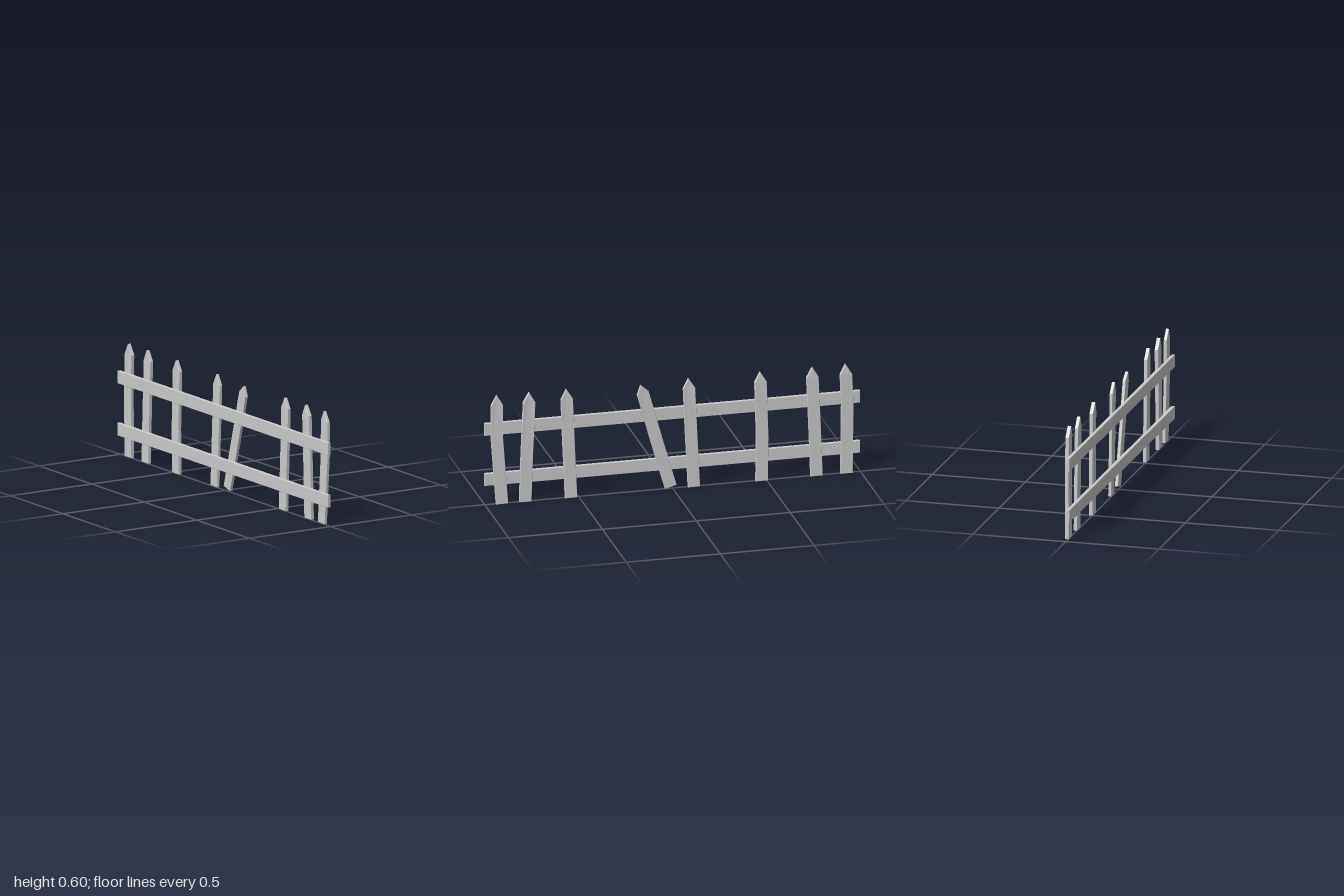
import * as THREE from 'three';

const material = new THREE.MeshStandardMaterial({ color: 0xcccccc, flatShading: true });
const BEVEL = 0.0015;

// Flat board outlined in the z-y plane, spanning x0 to x1, with lightly worn edges
function board(name, outline, x0, x1) {
  const shape = new THREE.Shape(outline.map(([z, y]) => new THREE.Vector2(-z, y)));
  const geometry = new THREE.ExtrudeGeometry(shape, {
    depth: x1 - x0 - 2 * BEVEL,
    bevelEnabled: true,
    bevelThickness: BEVEL,
    bevelSize: BEVEL,
    bevelOffset: -BEVEL,
    bevelSegments: 1,
  });
  geometry.rotateY(Math.PI / 2).translate(x0 + BEVEL, 0, 0);
  const mesh = new THREE.Mesh(geometry, material);
  mesh.name = name;
  return mesh;
}

// Pickets: centre line as [z, y] from foot, through the bend, to shoulder and tip
const HALF_WIDTH = 0.032;
const pickets = [
  { line: [[0.91, 0], [0.937, 0.36], [0.938, 0.545], [0.938, 0.6]], back: -0.001 },
  { line: [[0.786, 0], [0.779, 0.22], [0.765, 0.545], [0.765, 0.6]], back: -0.004 },
  { line: [[0.542, 0], [0.558, 0.36], [0.565, 0.545], [0.567, 0.6]], back: -0.003 },
  { line: [[0.012, 0.012], [0.09, 0.285], [0.16, 0.54], [0.172, 0.585]], back: -0.001, leaning: true },
  { line: [[-0.112, 0], [-0.097, 0.3], [-0.086, 0.545], [-0.083, 0.6]], back: -0.001 },
  { line: [[-0.473, 0], [-0.476, 0.24], [-0.467, 0.545], [-0.465, 0.6]], back: -0.004 },
  { line: [[-0.765, 0], [-0.754, 0.3], [-0.743, 0.545], [-0.743, 0.6]], back: -0.003 },
  { line: [[-0.925, 0], [-0.929, 0.38], [-0.922, 0.545], [-0.92, 0.6]], back: -0.004 },
];

function picket({ line, back }) {
  const tip = line[3];
  const body = line.slice(0, 3);
  // Square the cuts only on boards that lean strongly
  const slope = (line[2][0] - line[0][0]) / (line[2][1] - line[0][1]);
  const angle = Math.atan(slope);
  const dz = HALF_WIDTH * Math.cos(angle);
  const dy = -HALF_WIDTH * Math.sin(angle);
  const side = (s) => body.map(([z, y]) => [z + s * dz, Math.max(0, y + s * dy)]);
  const outline = [...side(-1), tip, ...side(1).reverse()].reverse();
  const mesh = board('picket', outline, back, 0.0155);
  // The pointed end bends slightly backwards
  const p = mesh.geometry.attributes.position;
  for (let i = 0; i < p.count; i++) {
    const t = Math.max(0, (p.getY(i) - 0.55) / 0.05);
    p.setX(i, p.getX(i) - 0.003 * t);
  }
  mesh.geometry.computeVertexNormals();
  return mesh;
}

// Centre of a picket at a given height
function centreAt(line, y) {
  const i = y < line[1][1] ? 0 : 1;
  const [a, b] = [line[i], line[i + 1]];
  return a[0] + ((b[0] - a[0]) * (y - a[1])) / (b[1] - a[1]);
}

export function createModel() {
  const fence = new THREE.Group();
  fence.name = 'picketFence';

  // Two long rails behind the pickets
  for (const [name, y0, y1] of [['lowerRail', 0.102, 0.169], ['upperRail', 0.378, 0.445]]) {
    fence.add(board(name, [[1, y0], [-1, y0], [-1, y1], [1, y1]], -0.019, 0));
  }

  // Pickets with a nail at each rail; the loose leaning one keeps only its upper nail
  const nailGeometry = new THREE.CylinderGeometry(0.0045, 0.006, 0.008, 8).rotateZ(-Math.PI / 2);
  pickets.forEach((spec, i) => {
    const group = new THREE.Group();
    group.name = `picket${i + 1}`;
    group.add(picket(spec));
    for (const y of spec.leaning ? [0.415] : [0.14, 0.415]) {
      const nail = new THREE.Mesh(nailGeometry, material);
      nail.name = 'nail';
      nail.position.set(0.0135, y + 0.004 * Math.sin(i * 2.3), centreAt(spec.line, y));
      group.add(nail);
    }
    fence.add(group);
  });

  return fence;
}
